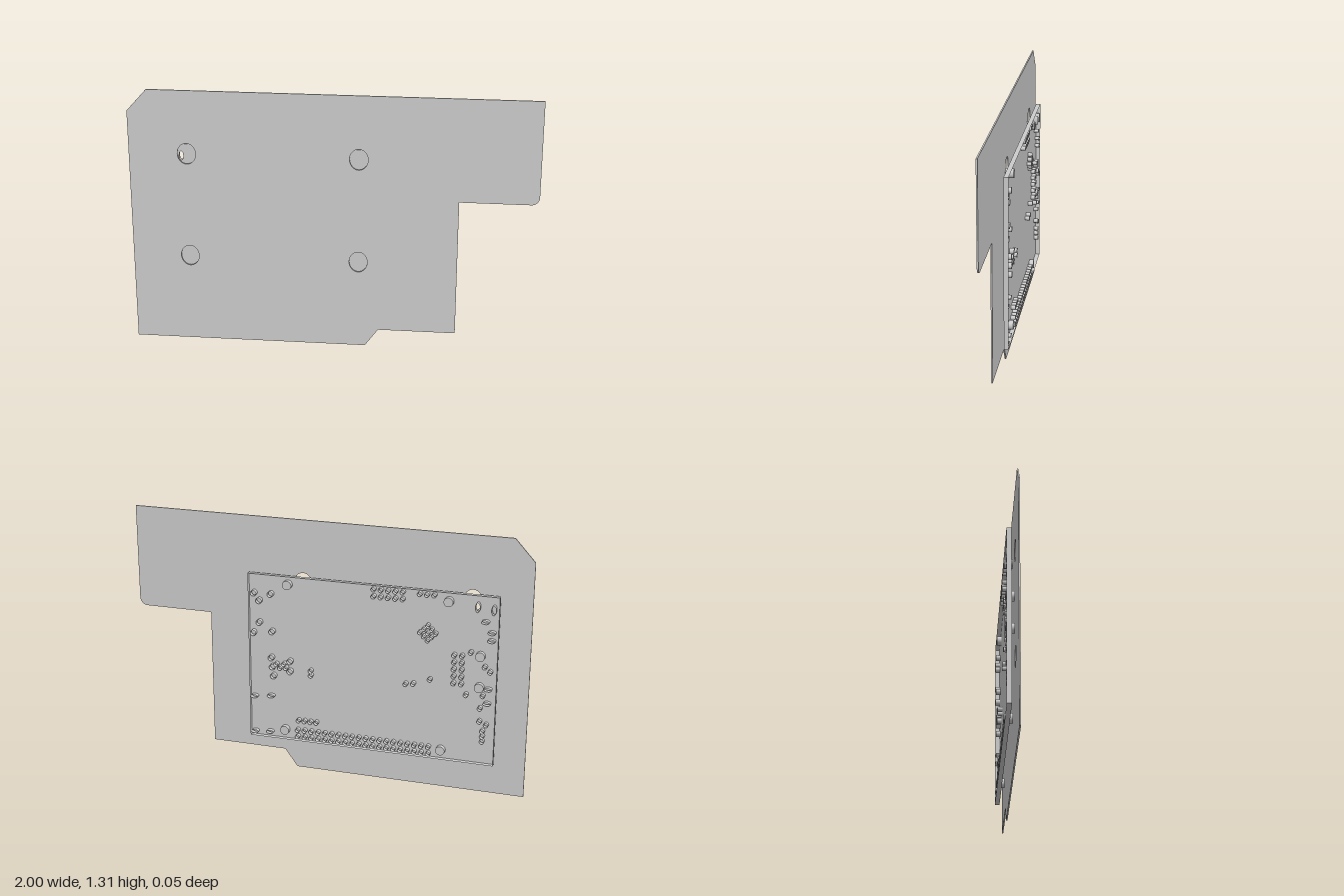
import * as THREE from 'three';
import { mergeGeometries } from 'three/addons/utils/BufferGeometryUtils.js';

const solid = new THREE.MeshStandardMaterial({ color: 0xcccccc });
const thin = new THREE.MeshStandardMaterial({ color: 0xcccccc, side: THREE.DoubleSide });

// Board extents: floor at the front, open towards the back
const LEFT = 0.4, RIGHT = -0.85, BOTTOM = 0.165, TOP = 1.03;
const FRONT = -0.003, BACK = -0.026, DEPTH = FRONT - BACK;

function add(group, name, geometry, material) {
  const mesh = new THREE.Mesh(geometry, material);
  mesh.name = name;
  group.add(mesh);
  return mesh;
}

function ellipseHole(shape, x, y, rx, ry) {
  const path = new THREE.Path();
  path.absellipse(x, y, rx, ry, 0, Math.PI * 2, true);
  shape.holes.push(path);
}

// Regular array of points; x runs towards the model's right, y downwards
function grid(x, y, columns, rows, step, stepY = step) {
  const points = [];
  for (let r = 0; r < rows; r++)
    for (let c = 0; c < columns; c++) points.push([x - c * step, y - r * stepY]);
  return points;
}

function createPlate() {
  const s = new THREE.Shape();
  s.moveTo(-1, 0);
  s.lineTo(0.165, 0);
  s.lineTo(0.23, 0.09);
  s.lineTo(0.615, 0.09);
  s.lineTo(0.615, 0.79);
  s.lineTo(0.96, 0.79);
  s.absarc(0.96, 0.83, 0.04, -Math.PI / 2, 0, false);
  s.lineTo(1, 1.31);
  s.lineTo(-0.9, 1.31);
  s.lineTo(-1, 1.2);
  s.closePath();
  for (const x of [-0.714, 0.128])
    for (const y of [0.455, 0.99]) ellipseHole(s, x, y, 0.045, 0.053);
  const g = new THREE.ExtrudeGeometry(s, { depth: 0.007, bevelEnabled: false, curveSegments: 16 });
  return g.translate(0, 0, 0.019);
}

// All board perforations as [x, y, rx, ry]
function perforations() {
  const pins = [
    ...grid(0.15, 0.22, 20, 2, 0.0355),          // long double header
    ...grid(0.145, 0.273, 4, 1, 0.031),
    ...grid(-0.237, 1.008, 5, 2, 0.036),         // upper double header
    ...grid(-0.465, 1.008, 3, 1, 0.035),
    ...grid(-0.64, 0.717, 2, 5, 0.038, 0.036),   // side header
    [-0.404, 0.54], [-0.442, 0.546], [-0.524, 0.578],
    [0.08, 0.55], [0.08, 0.525],
    [0.24, 0.547], [0.21, 0.55], [0.26, 0.565], [0.22, 0.57],
    [-0.72, 0.74], [-0.703, 0.52], [-0.79, 0.673], [-0.817, 0.65],
    [-0.785, 0.525], [-0.774, 0.458], [-0.774, 0.39], [-0.807, 0.375],
    ...grid(-0.79, 0.34, 1, 3, 0.027),
  ].map(([x, y]) => [x, y, 0.0115, 0.0115]);

  const larger = [
    [0.373, 0.928], [0.346, 0.891], [0.286, 0.93], [0.378, 0.72], [0.346, 0.777],
    [0.28, 0.735], [0.286, 0.596], [0.188, 0.587], [0.28, 0.548], [0.275, 0.5], [0.188, 0.533],
  ].map(([x, y]) => [x, y, 0.015, 0.015]);

  const wide = [
    [0.378, 0.379], [0.29, 0.39], [0.378, 0.186], [0.297, 0.193], [-0.785, 0.9],
    [-0.817, 0.848], [-0.817, 0.808], [-0.807, 0.486], [-0.81, 0.56],
  ].map(([x, y]) => [x, y, 0.019, 0.009]);

  const tall = [[-0.746, 0.97], [-0.823, 0.963]].map(([x, y]) => [x, y, 0.011, 0.024]);

  // Diamond cluster of vias
  const vias = [];
  for (let i = -1; i <= 1; i++)
    for (let j = -1; j <= 1; j++)
      vias.push([-0.508 + (i + j) * 0.019, 0.815 + (i - j) * 0.019, 0.0105, 0.0105]);

  return [...pins, ...larger, ...wide, ...tall, ...vias];
}

export function createModel() {
  const model = new THREE.Group();
  model.name = 'boardMount';
  add(model, 'mountingPlate', createPlate(), solid);

  const board = new THREE.Group();
  board.name = 'circuitBoard';
  model.add(board);
  const holes = perforations();

  // Perforated floor
  const floor = new THREE.Shape();
  floor.moveTo(RIGHT, BOTTOM);
  floor.lineTo(LEFT, BOTTOM);
  floor.lineTo(LEFT, TOP);
  floor.lineTo(RIGHT, TOP);
  floor.closePath();
  for (const h of holes) ellipseHole(floor, ...h);
  add(board, 'boardFloor', new THREE.ShapeGeometry(floor, 4).translate(0, 0, FRONT), thin);

  // Thin edge walls
  const midX = (LEFT + RIGHT) / 2, midY = (TOP + BOTTOM) / 2, midZ = (FRONT + BACK) / 2;
  for (const [name, y, turn] of [['topWall', TOP, -1], ['bottomWall', BOTTOM, 1]]) {
    const wall = add(board, name, new THREE.PlaneGeometry(LEFT - RIGHT, DEPTH), thin);
    wall.rotation.x = turn * Math.PI / 2;
    wall.position.set(midX, y, midZ);
  }
  for (const [name, x, turn] of [['leftWall', LEFT, 1], ['rightWall', RIGHT, -1]]) {
    const wall = add(board, name, new THREE.PlaneGeometry(DEPTH, TOP - BOTTOM), thin);
    wall.rotation.y = turn * Math.PI / 2;
    wall.position.set(x, midY, midZ);
  }

  // Sleeves around every perforation
  const sleeves = holes.map(([x, y, rx, ry]) =>
    new THREE.CylinderGeometry(1, 1, DEPTH, 16, 1, true)
      .rotateX(Math.PI / 2).scale(rx, ry, 1).translate(x, y, midZ));
  add(board, 'pinSleeves', mergeGeometries(sleeves), thin);

  // Standoffs passing through the board towards the plate
  const standoffs = [
    [0.199, 0.985], [-0.605, 0.982], [-0.766, 0.724],
    [-0.766, 0.564], [0.218, 0.212], [-0.586, 0.21],
  ];
  const length = 0.014 - BACK;
  for (const [x, y] of standoffs) {
    const g = new THREE.CylinderGeometry(0.023, 0.023, length, 32).rotateX(Math.PI / 2);
    add(board, 'standoff', g, solid).position.set(x, y, BACK + length / 2);
  }
  return model;
}
